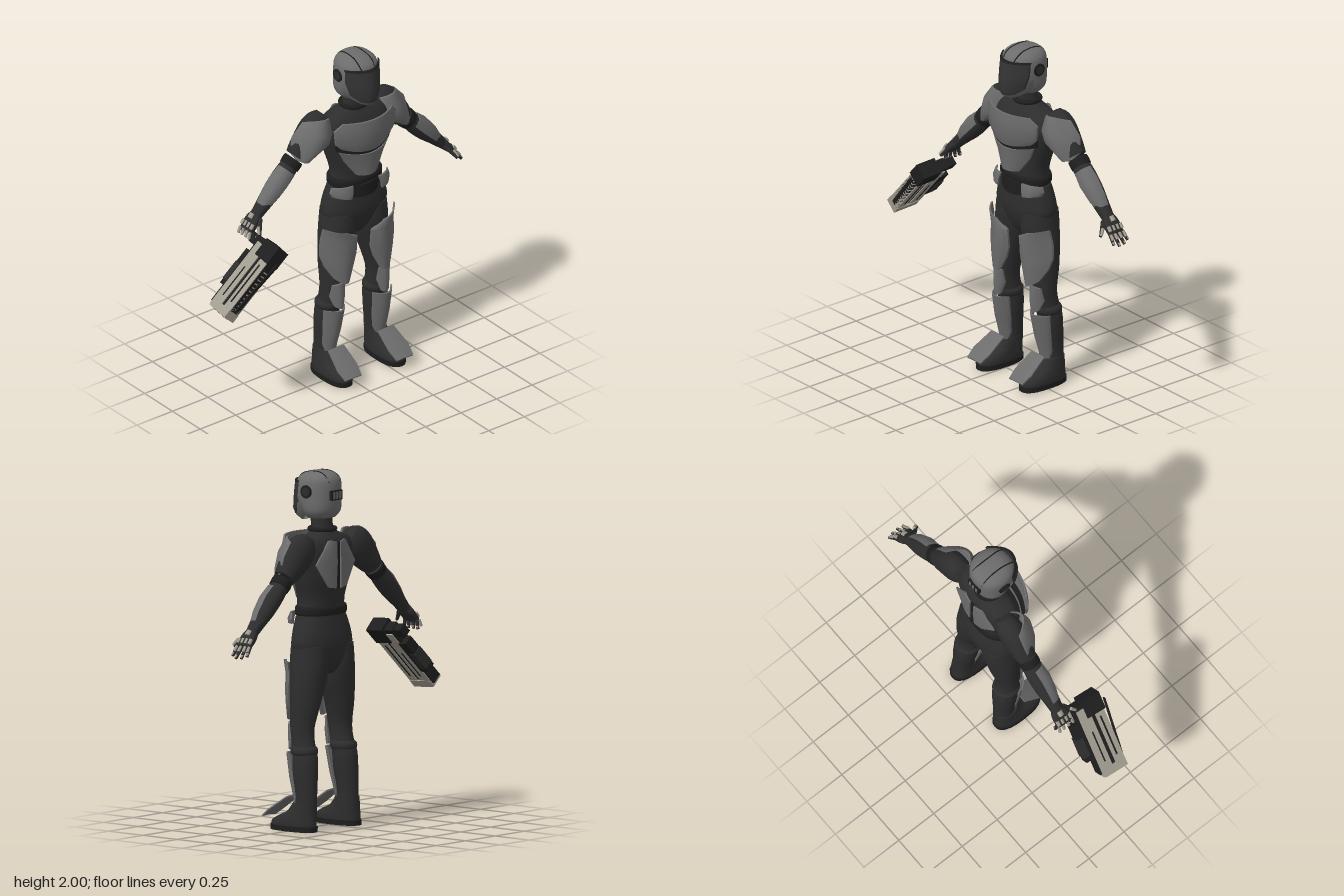
import * as THREE from 'three';
import { toCreasedNormals } from 'three/addons/utils/BufferGeometryUtils.js';

const mat = (name, color, side = THREE.FrontSide) => {
  const m = new THREE.MeshStandardMaterial({ color, side });
  m.name = name;
  return m;
};
const V = (p) => new THREE.Vector3(...p);

// Smooth body through stacked elliptical rings [cx, y, cz, rx, rz], listed bottom to top
function loft(rings, power = 2, n = 24, sub = 4) {
  const pos = [], idx = [], R = [];
  const cr = (a, b, c, d, t) =>
    0.5 * (2 * b + (c - a) * t + (2 * a - 5 * b + 4 * c - d) * t * t + (3 * b - a - 3 * c + d) * t * t * t);
  for (let j = 0; j < rings.length - 1; j++)
    for (let s = 0; s < sub; s++) {
      const q = (k) => rings[Math.min(Math.max(k, 0), rings.length - 1)];
      R.push(rings[j].map((_, k) => cr(q(j - 1)[k], q(j)[k], q(j + 1)[k], q(j + 2)[k], s / sub)));
    }
  R.push(rings[rings.length - 1]);
  const sp = (v) => Math.sign(v) * Math.abs(v) ** (2 / power);
  for (const [cx, y, cz, rx, rz] of R)
    for (let i = 0; i < n; i++) {
      const a = (i / n) * Math.PI * 2;
      pos.push(cx + rx * sp(Math.cos(a)), y, cz + rz * sp(Math.sin(a)));
    }
  for (let j = 0; j < R.length - 1; j++)
    for (let i = 0; i < n; i++) {
      const a = j * n + i, a1 = j * n + (i + 1) % n;
      idx.push(a, a + n, a1, a1, a + n, a1 + n);
    }
  const top = (R.length - 1) * n, c = R.length * n;
  for (const r of [R[0], R[R.length - 1]]) pos.push(r[0], r[1], r[2]);
  for (let i = 0; i < n; i++) {
    const k = (i + 1) % n;
    idx.push(c, i, k, c + 1, top + k, top + i);
  }
  const g = new THREE.BufferGeometry();
  g.setAttribute('position', new THREE.Float32BufferAttribute(pos, 3));
  g.setIndex(idx);
  return toCreasedNormals(g, 1);
}

// Curved armour slab: rows from top to bottom, each row bends through three points
function panel(rows, off = [0, 0, -0.012], n = 10) {
  const pos = [], idx = [], w = n + 1, h = rows.length, L = w * h;
  for (const o of [[0, 0, 0], off])
    for (const [a, b, c] of rows)
      for (let i = 0; i <= n; i++) {
        const t = i / n, u = 1 - t;
        for (let k = 0; k < 3; k++)
          pos.push(a[k] * u * (u - t) + 4 * b[k] * u * t + c[k] * t * (t - u) + o[k]);
      }
  for (let j = 0; j < h - 1; j++)
    for (let i = 0; i < n; i++) {
      const a = j * w + i, b = a + w;
      idx.push(a, b, a + 1, a + 1, b, b + 1);
      idx.push(L + a, L + a + 1, L + b, L + a + 1, L + b + 1, L + b);
    }
  const wall = (a, b) => idx.push(a, b, L + a, b, L + b, L + a);
  for (let i = 0; i < n; i++) { wall(i, i + 1); wall(L - w + i + 1, L - w + i); }
  for (let j = 0; j < h - 1; j++) { wall((j + 1) * w, j * w); wall(j * w + n, (j + 1) * w + n); }
  const g = new THREE.BufferGeometry();
  g.setAttribute('position', new THREE.Float32BufferAttribute(pos, 3));
  g.setIndex(idx);
  return toCreasedNormals(g, 0.6);
}

// Symmetric panel: rows of [half width, side y, side z, centre y, centre z]
const symPanel = (rows, off) =>
  panel(rows.map(([x, y, z, cy, cz]) => [[-x, y, z], [0, cy, cz], [x, y, z]]), off, 20);

function rod(a, b, r1, r2 = r1) {
  const d = V(b).sub(V(a)), g = new THREE.CylinderGeometry(r2, r1, d.length(), 8);
  g.applyQuaternion(new THREE.Quaternion().setFromUnitVectors(new THREE.Vector3(0, 1, 0), d.clone().normalize()));
  return g.translate(...V(a).addScaledVector(d, 0.5).toArray());
}

function mirrored(geo) {
  const g = geo.clone().scale(-1, 1, 1), idx = [];
  const count = g.index ? g.index.count : g.attributes.position.count;
  const at = (i) => (g.index ? g.index.getX(i) : i);
  for (let i = 0; i < count; i += 3) idx.push(at(i), at(i + 2), at(i + 1));
  g.setIndex(idx);
  return g;
}

export function createModel() {
  const suit = mat('suit black', 0x2d2d2d), dark = mat('trim black', 0x1e1e1e, THREE.DoubleSide);
  const plate = mat('armour grey', 0x6c6c6c, THREE.DoubleSide), glass = mat('visor grey', 0x343434, THREE.DoubleSide);
  const bone = mat('pale metal', 0xa29c90);
  const root = new THREE.Group(), body = new THREE.Group();
  body.name = 'soldier';
  body.position.x = 0.12;
  root.add(body);
  const add = (name, geo, m, parent = body) => {
    const mesh = new THREE.Mesh(geo, m);
    mesh.name = name;
    parent.add(mesh);
    return mesh;
  };
  const both = (name, geo, m) => {
    add('left ' + name, geo, m);
    add('right ' + name, mirrored(geo), m);
  };

  // Torso, pelvis and neck
  add('torso', loft([[0, 1.14, -0.05, 0.17, 0.1], [0, 1.22, -0.045, 0.155, 0.098], [0, 1.3, -0.045, 0.156, 0.103],
    [0, 1.4, -0.052, 0.185, 0.112], [0, 1.5, -0.05, 0.212, 0.117], [0, 1.57, -0.057, 0.225, 0.107],
    [0, 1.62, -0.062, 0.19, 0.088], [0, 1.65, -0.062, 0.11, 0.068], [0, 1.67, -0.06, 0.07, 0.058]], 2.3, 32), suit);
  add('pelvis', loft([[0, 0.87, -0.06, 0.05, 0.06], [0, 0.93, -0.06, 0.15, 0.095], [0, 1.02, -0.053, 0.207, 0.115],
    [0, 1.1, -0.05, 0.2, 0.113], [0, 1.19, -0.045, 0.17, 0.1]], 2.3, 32), suit);
  add('belt', loft([[0, 1.2, -0.045, 0.166, 0.108], [0, 1.21, -0.045, 0.17, 0.11], [0, 1.24, -0.045, 0.168, 0.11],
    [0, 1.25, -0.045, 0.16, 0.104]], 2.3, 32), dark);
  add('neck', loft([[0, 1.62, -0.058, 0.085, 0.065], [0, 1.68, -0.055, 0.068, 0.056], [0, 1.77, -0.045, 0.066, 0.056]]), suit);
  add('collar', new THREE.TorusGeometry(0.07, 0.014, 8, 24).rotateX(Math.PI / 2).translate(0, 1.675, -0.056), dark);

  // Chest, belly, hip and back armour
  add('chest plate', symPanel([[0.17, 1.645, 0.08, 1.645, 0.14], [0.215, 1.6, 0.055, 1.6, 0.145],
    [0.205, 1.51, 0.055, 1.51, 0.143], [0.17, 1.475, 0.06, 1.445, 0.12]]), plate);
  add('chest underplate', symPanel([[0.2, 1.52, 0.045, 1.48, 0.118], [0.19, 1.46, 0.04, 1.425, 0.108]]), dark);
  add('belly plate', symPanel([[0.175, 1.45, 0.05, 1.425, 0.117], [0.14, 1.38, 0.045, 1.37, 0.11],
    [0.075, 1.285, 0.07, 1.28, 0.105]]), plate);
  add('belt buckle', symPanel([[0.1, 1.21, 0.05, 1.21, 0.075], [0.085, 1.14, 0.055, 1.13, 0.075]]), dark);
  both('hip plate', panel([[[0.09, 1.215, 0.065], [0.15, 1.215, 0.05], [0.195, 1.21, 0.005]],
    [[0.1, 1.175, 0.075], [0.16, 1.18, 0.06], [0.205, 1.18, 0.005]],
    [[0.105, 1.14, 0.072], [0.155, 1.15, 0.06], [0.195, 1.155, 0.01]]]), plate);
  both('back plate', panel([[[0.07, 1.62, -0.165], [0.045, 1.62, -0.176], [0.015, 1.61, -0.18]],
    [[0.165, 1.49, -0.155], [0.09, 1.49, -0.176], [0.015, 1.49, -0.182]],
    [[0.075, 1.36, -0.17], [0.045, 1.355, -0.176], [0.02, 1.35, -0.178]]], [0, 0, 0.009]), plate);
  add('spine strip', new THREE.BoxGeometry(0.018, 0.26, 0.012).translate(0, 1.48, -0.17), dark);

  // Helmet
  add('helmet', loft([[0, 1.74, -0.05, 0.085, 0.07], [0, 1.78, -0.052, 0.113, 0.095], [0, 1.86, -0.033, 0.121, 0.122],
    [0, 1.94, -0.033, 0.117, 0.12], [0, 1.975, -0.037, 0.097, 0.098], [0, 1.994, -0.04, 0.06, 0.062],
    [0, 2, -0.04, 0.02, 0.02]], 2.2, 32), plate);
  add('visor', symPanel([[0.115, 1.94, 0.03, 1.942, 0.113], [0.118, 1.87, 0.035, 1.86, 0.123],
    [0.1, 1.79, 0.055, 1.78, 0.134], [0.06, 1.755, 0.09, 1.745, 0.122]]), glass);
  add('brow trim', symPanel([[0.118, 1.947, 0.025, 1.949, 0.11], [0.118, 1.938, 0.03, 1.94, 0.116]]), dark);
  add('jaw guard', symPanel([[0.119, 1.84, 0.01, 1.755, 0.125], [0.108, 1.79, 0.005, 1.735, 0.115],
    [0.075, 1.75, 0.01, 1.715, 0.08]]), plate);
  both('helmet seam', new THREE.TubeGeometry(new THREE.CatmullRomCurve3([[0.045, 1.945, 0.08], [0.048, 1.975, 0.052],
    [0.045, 1.993, 0.005], [0.045, 1.994, -0.08], [0.048, 1.973, -0.123], [0.045, 1.94, -0.144]].map(V)), 24, 0.004, 6), dark);
  both('ear disc', new THREE.CylinderGeometry(0.037, 0.037, 0.02, 20).rotateZ(Math.PI / 2).translate(0.115, 1.89, -0.04), dark);
  both('ear cap', new THREE.CylinderGeometry(0.024, 0.024, 0.024, 20).rotateZ(Math.PI / 2).translate(0.115, 1.89, -0.04), suit);
  add('rear vent', new THREE.BoxGeometry(0.09, 0.055, 0.02).translate(0, 1.87, -0.155), dark);
  for (const i of [-1, 0, 1])
    add('vent fin', new THREE.BoxGeometry(0.014, 0.04, 0.006).translate(i * 0.026, 1.87, -0.166), plate);

  // Arms: A(t, u, z) gives a point at t along the arm, u towards its upper side
  const S = Math.SQRT1_2, A = (t, u, z) => [0.24 + S * (t + u), 1.57 - S * (t - u), z];
  const limb = (rows, p) => loft(rows.map(([t, r, rz]) => [0, t, 0, r, rz]), p)
    .rotateZ(-Math.PI * 0.75).translate(0.24, 1.57, -0.097);
  both('upper arm', limb([[-0.09, 0.05, 0.045], [-0.05, 0.085, 0.065], [0.01, 0.1, 0.074], [0.08, 0.093, 0.07],
    [0.15, 0.075, 0.064], [0.19, 0.062, 0.058]]), suit);
  both('forearm', limb([[0.205, 0.054, 0.054], [0.25, 0.051, 0.054], [0.33, 0.056, 0.058], [0.42, 0.052, 0.055],
    [0.5, 0.041, 0.046], [0.6, 0.029, 0.036]]), suit);
  both('elbow cuff', limb([[0.206, 0.058, 0.057], [0.225, 0.06, 0.059], [0.255, 0.057, 0.058]]), dark);
  both('shoulder plate', panel([
    [[0.18, 1.635, -0.04], [0.25, 1.655, -0.01], [0.32, 1.635, -0.09]],
    [[0.185, 1.56, 0.0], [0.29, 1.575, 0.015], [0.39, 1.56, -0.1]],
    [[0.21, 1.5, 0.0], [0.32, 1.49, 0.012], [0.41, 1.47, -0.09]],
    [[0.335, 1.42, -0.02], [0.36, 1.42, -0.018], [0.395, 1.435, -0.05]]]), plate);
  both('forearm plate', panel([[0.28, 0.052], [0.36, 0.06], [0.46, 0.05], [0.52, 0.035]].map(([t, r]) =>
    [A(t, -r * 0.25, -0.092 + r), A(t, r * 0.75, -0.092 + r * 0.75), A(t, r * 1.12, -0.1)])), plate);

  // Hands: palm, fingers and pale guards on the upper side
  both('palm', limb([[0.57, 0.029, 0.034], [0.61, 0.027, 0.05], [0.66, 0.022, 0.052], [0.68, 0.016, 0.046]], 2.6), suit);
  for (const side of [1, -1]) {
    const hand = (name, geo, m) => add((side > 0 ? 'left ' : 'right ') + name, side > 0 ? geo : mirrored(geo), m);
    [-0.152, -0.12, -0.082, -0.05].forEach((z, i) => {
      const b = -0.138 + i * 0.027, tip = side > 0 ? [0.735, 0.752, 0.755, 0.74][i] : 0.70;
      const u = side > 0 ? -0.008 : -0.045;
      hand('finger', rod(A(0.66, 0, b), A(tip, u, z), 0.012, 0.009), suit);
      hand('knuckle guard', rod(A(0.635, 0.018, b), A(0.665, 0.014, b), 0.011), bone);
      hand('finger guard', rod(A(0.68, 0.006, b + (z - b) * 0.3), A(0.715, u * 0.4 + 0.006, b + (z - b) * 0.6), 0.009), bone);
      hand('fingertip guard', rod(A(tip - 0.018, u + 0.006, z), A(tip, u + 0.003, z), 0.008, 0.006), bone);
    });
    hand('thumb', rod(A(0.59, -0.005, -0.06), A(0.665, -0.02, -0.005), 0.015, 0.009), suit);
    hand('thumb guard', rod(A(0.63, 0.002, -0.03), A(0.665, -0.012, -0.005), 0.01, 0.008), bone);
    hand('wrist guard', rod(A(0.585, 0.022, -0.1), A(0.615, 0.022, -0.1), 0.018), bone);
  }

  // Legs and boots
  both('leg', loft([[0.18, 0.06, -0.09, 0.058, 0.065], [0.176, 0.2, -0.09, 0.056, 0.064], [0.172, 0.32, -0.08, 0.066, 0.073],
    [0.168, 0.41, -0.075, 0.068, 0.073], [0.163, 0.5, -0.055, 0.06, 0.07], [0.16, 0.58, -0.048, 0.062, 0.073],
    [0.145, 0.7, -0.055, 0.08, 0.088], [0.122, 0.83, -0.058, 0.102, 0.1], [0.11, 0.93, -0.055, 0.105, 0.112],
    [0.105, 1.03, -0.055, 0.1, 0.11]]), suit);
  both('boot cuff', loft([[0.167, 0.425, -0.07, 0.066, 0.07], [0.167, 0.44, -0.068, 0.074, 0.078],
    [0.166, 0.46, -0.066, 0.073, 0.077], [0.165, 0.475, -0.062, 0.062, 0.068]]), suit);
  both('boot', loft([[0.187, 0.02, -0.01, 0.066, 0.15], [0.187, 0.05, -0.012, 0.067, 0.148], [0.186, 0.08, -0.035, 0.063, 0.122],
    [0.184, 0.11, -0.065, 0.06, 0.09], [0.18, 0.16, -0.085, 0.057, 0.068]], 2.4), suit);
  both('sole', loft([[0.187, 0, -0.01, 0.069, 0.155], [0.187, 0.03, -0.01, 0.07, 0.156]], 2.5, 24, 1), dark);
  for (let i = 0; i < 6; i++)
    both('sole tread', new THREE.BoxGeometry(0.09, 0.008, 0.02).translate(0.187, 0.002, -0.12 + i * 0.044), suit);

  // Leg armour
  both('thigh plate', panel([
    [[0.13, 0.925, 0.066], [0.19, 0.945, 0.06], [0.25, 0.965, 0]],
    [[0.05, 0.88, 0.05], [0.15, 0.88, 0.072], [0.256, 0.88, -0.02]],
    [[0.05, 0.77, 0.04], [0.15, 0.77, 0.073], [0.26, 0.79, -0.02]],
    [[0.07, 0.7, 0.04], [0.15, 0.7, 0.07], [0.24, 0.72, -0.005]],
    [[0.11, 0.615, 0.055], [0.15, 0.61, 0.064], [0.2, 0.645, 0.03]]]), plate);
  both('knee plate', panel([
    [[0.12, 0.6, 0.03], [0.16, 0.605, 0.045], [0.2, 0.595, 0.02]],
    [[0.115, 0.52, 0.015], [0.16, 0.52, 0.052], [0.208, 0.52, 0.0]],
    [[0.135, 0.45, 0.03], [0.16, 0.445, 0.045], [0.19, 0.46, 0.025]]]), plate);
  both('shin plate', panel([
    [[0.1, 0.435, 0.0], [0.168, 0.435, 0.05], [0.238, 0.435, -0.01]],
    [[0.112, 0.3, -0.02], [0.172, 0.3, 0.028], [0.23, 0.3, -0.025]],
    [[0.125, 0.2, -0.035], [0.176, 0.2, 0.0], [0.222, 0.2, -0.04]],
    [[0.15, 0.13, -0.025], [0.177, 0.13, -0.015], [0.205, 0.13, -0.028]]]), plate);
  both('foot plate', panel([[0.12, 0.23, 0.19, 0.015], [0.112, 0.25, 0.115, 0.125], [0.125, 0.238, 0.073, 0.182]]
    .map(([a, b, y, z]) => [[a, y, z], [(a + b) / 2, y + 0.004, z + 0.002], [b, y, z]]), [0, -0.007, -0.004]), plate);

  // Sidearm: x along the barrel, z through its depth
  const gun = new THREE.Group();
  gun.name = 'sidearm';
  const ex = V([-0.69, -0.715, -0.11]).normalize();
  const ey = V([0, 0, 1]).cross(ex).normalize();
  gun.quaternion.setFromRotationMatrix(new THREE.Matrix4().makeBasis(ex, ey, ex.clone().cross(ey)));
  gun.position.set(-0.7, 0.885, 0.035);
  root.add(gun);
  const box = (name, m, w, h, d, x, y, z) =>
    add(name, new THREE.BoxGeometry(w, h, d).translate(x, y, z), m, gun);
  box('gun core', dark, 0.45, 0.066, 0.17, 0, 0, 0.01);
  box('gun body', bone, 0.44, 0.078, 0.075, 0.025, 0, -0.025);
  box('gun rail', bone, 0.47, 0.078, 0.06, 0.01, 0, 0.065);
  box('muzzle', bone, 0.05, 0.084, 0.15, 0.225, 0, 0.02);
  box('muzzle slot', dark, 0.008, 0.04, 0.1, 0.249, 0, 0.02);
  box('rear housing', dark, 0.11, 0.092, 0.12, -0.185, 0, 0.045);
  box('front slot', dark, 0.3, 0.03, 0.006, 0.05, 0, 0.094);
  for (let i = 0; i < 11; i++) box('slot rung', bone, 0.007, 0.03, 0.006, -0.08 + i * 0.026, 0, 0.096);
  for (const s of [-1, 1]) {
    box('side groove', dark, 0.26, 0.006, 0.01, 0.03, s * 0.038, 0.06);
    box('side groove', dark, 0.2, 0.006, 0.008, 0.06, s * 0.038, -0.02);
  }
  box('under block', dark, 0.24, 0.06, 0.06, 0.0, 0.01, -0.085);
  box('block cover', suit, 0.12, 0.066, 0.04, 0.03, 0.012, -0.1);
  box('grip', dark, 0.06, 0.05, 0.11, -0.19, 0, -0.08);
  box('sight bar', dark, 0.35, 0.02, 0.008, 0, 0, 0.118).rotation.y = 0.09;
  return root;
}
